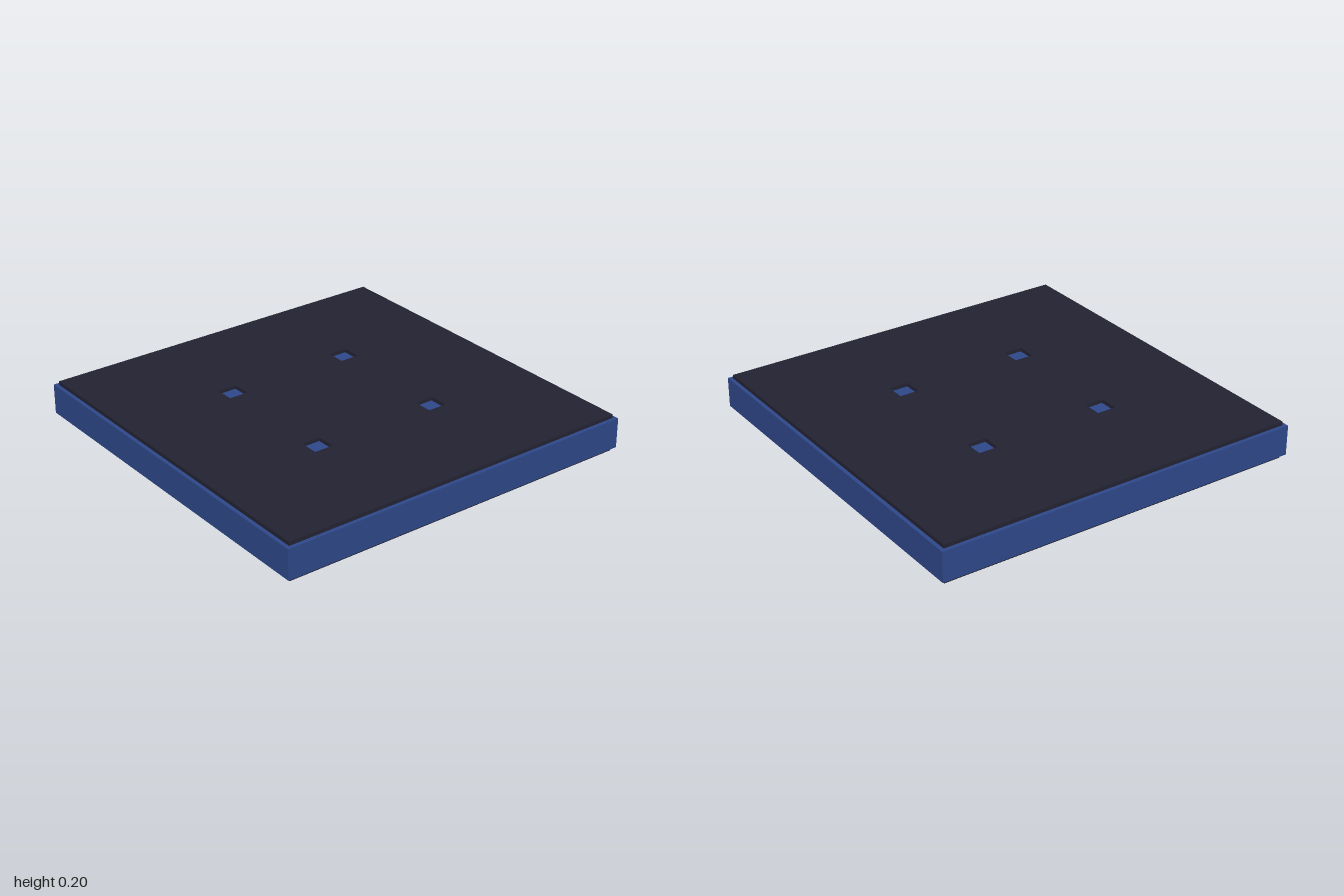
import * as THREE from 'three';

const blue = new THREE.MeshStandardMaterial({ color: 0x2d4788 });
blue.name = 'blue';
const dark = new THREE.MeshStandardMaterial({ color: 0x232232 });
dark.name = 'darkSlate';

// Clockwise or counter-clockwise square, centred on (x, y)
function square(PathType, half, x = 0, y = 0) {
  const path = new PathType();
  path.moveTo(x - half, y - half);
  path.lineTo(x + half, y - half);
  path.lineTo(x + half, y + half);
  path.lineTo(x - half, y + half);
  path.closePath();
  return path;
}

// Flat slab lying on y = bottom with square holes through it
function slab(name, half, holes, bottom, top, material) {
  const shape = square(THREE.Shape, half);
  for (const [h, x, z] of holes) shape.holes.push(square(THREE.Path, h, x, -z));
  const geometry = new THREE.ExtrudeGeometry(shape, { depth: top - bottom, bevelEnabled: false });
  geometry.rotateX(-Math.PI / 2);
  const mesh = new THREE.Mesh(geometry, material);
  mesh.name = name;
  mesh.position.y = bottom;
  return mesh;
}

export function createModel() {
  const model = new THREE.Group();
  model.name = 'hollowTile';

  const spots = [];
  for (const x of [-0.35, 0.35]) for (const z of [-0.35, 0.35]) spots.push([x, z]);

  // Top plate with four square openings
  model.add(slab('topPlate', 0.98, spots.map(([x, z]) => [0.052, x, z]), 0.18, 0.2, dark));

  // Blue sheet seen through the openings and from underneath
  model.add(slab('ceilingSheet', 0.98, [], 0.17, 0.18, blue));

  // Blue band around the sides
  model.add(slab('sideBand', 1, [[0.98, 0, 0]], 0.02, 0.18, blue));

  // Dark lining, showing as a skirt below the band
  model.add(slab('innerLining', 0.98, [[0.974, 0, 0]], 0, 0.17, dark));

  // Pegs hanging under the openings
  for (const [x, z] of spots) {
    const peg = new THREE.Mesh(new THREE.BoxGeometry(0.104, 0.07, 0.104), dark);
    peg.name = 'peg';
    peg.position.set(x, 0.135, z);
    model.add(peg);
  }

  return model;
}
